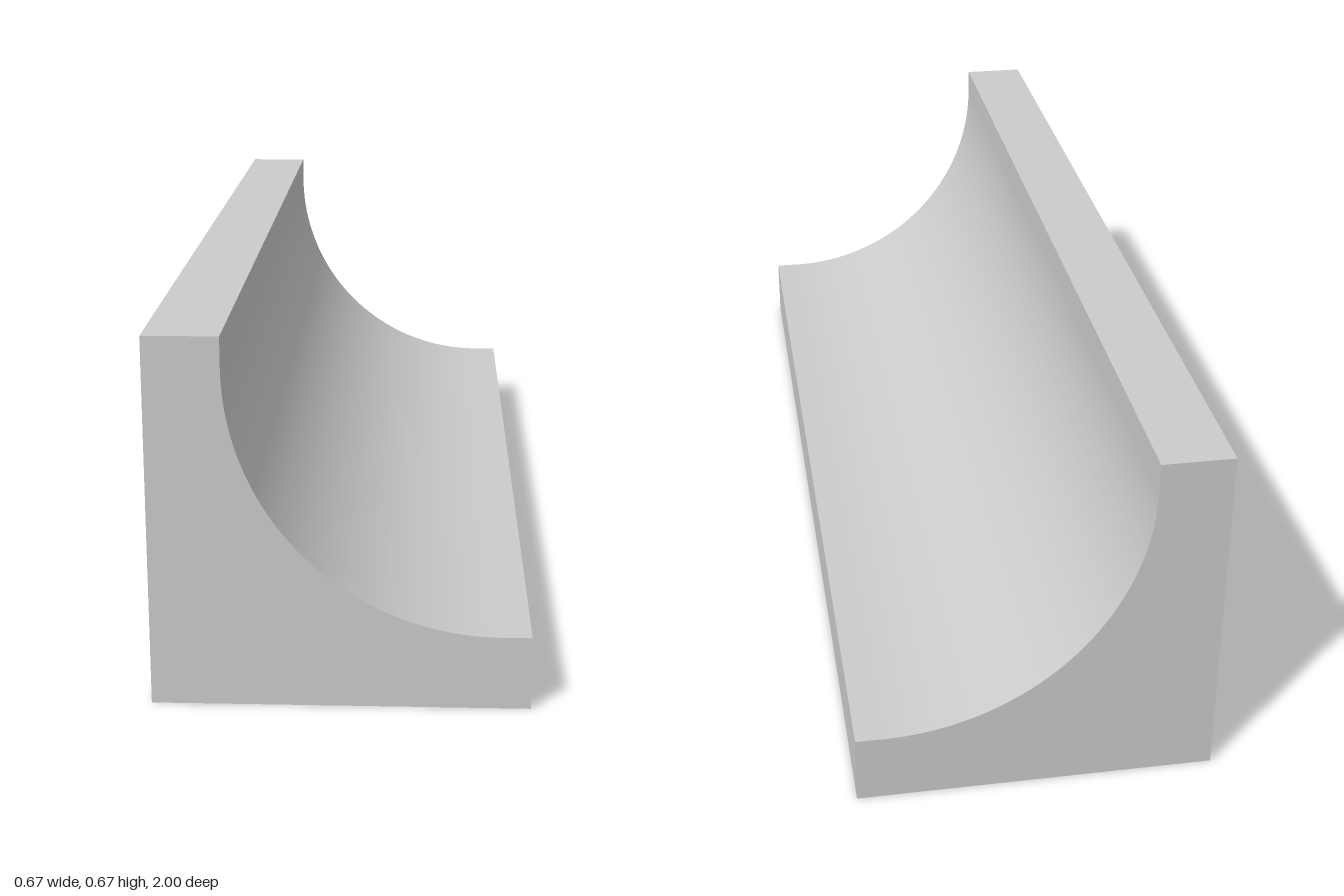
import * as THREE from 'three';
import { toCreasedNormals } from 'three/addons/utils/BufferGeometryUtils.js';

export function createModel() {
  const group = new THREE.Group();
  group.name = 'coveMoulding';

  const half = 1 / 3;      // half width of the square section
  const lip = 0.4 / 3;     // thickness of the two legs
  const radius = 0.48;     // radius of the hollow
  const length = 2;

  // L-shaped section with a concave quarter round between the legs
  const section = new THREE.Shape();
  section.moveTo(-half, 0);
  section.lineTo(half, 0);
  section.lineTo(half, lip);
  section.lineTo(-0.2 + radius, lip);
  section.absarc(-0.2 + radius, lip + radius, radius, 1.5 * Math.PI, Math.PI, true);
  section.lineTo(-0.2, 2 * half);
  section.lineTo(-half, 2 * half);
  section.closePath();

  // Straight run along z
  const geometry = new THREE.ExtrudeGeometry(section, {
    depth: length, bevelEnabled: false, curveSegments: 48,
  });
  geometry.translate(0, 0, -length / 2);

  const moulding = new THREE.Mesh(
    toCreasedNormals(geometry, 0.5),
    new THREE.MeshStandardMaterial({ color: 0xcccccc }),
  );
  moulding.name = 'moulding';
  group.add(moulding);
  return group;
}
